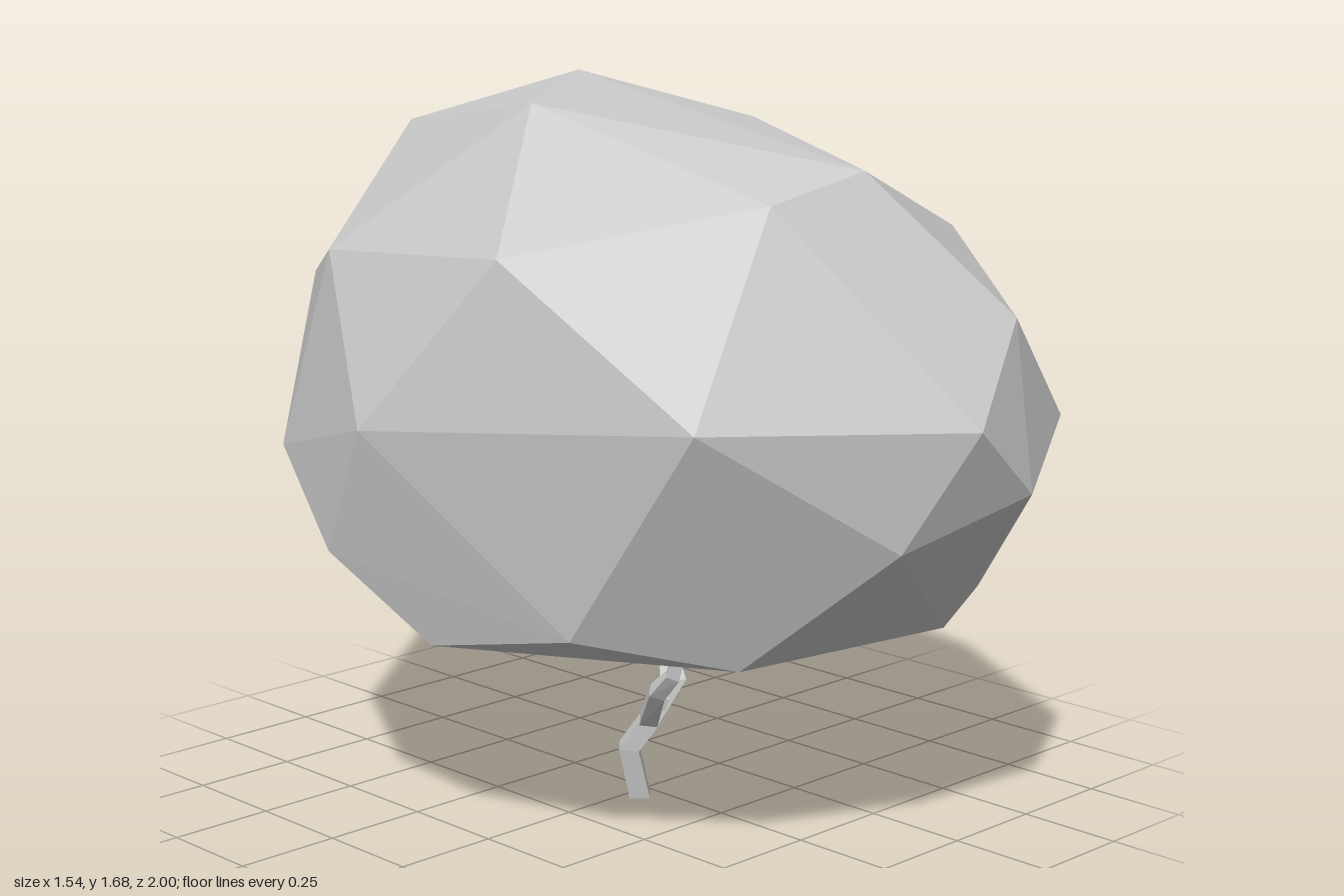
import * as THREE from 'three';
import { ConvexGeometry } from 'three/addons/geometries/ConvexGeometry.js';

const material = new THREE.MeshStandardMaterial({ color: 0xcccccc, flatShading: true });
const UP = new THREE.Vector3(0, 1, 0);
const vectors = (list) => list.map((p) => new THREE.Vector3(...p));

// Four-sided limb: a cylinder whose rows follow a bent path, tapering from r0 to r1
function limb(name, points, r0, r1) {
  const path = vectors(points);
  const last = path.length - 1;
  const geometry = new THREE.CylinderGeometry(1, 1, 1, 4, last);
  const position = geometry.attributes.position;
  const v = new THREE.Vector3();
  const turn = new THREE.Quaternion();
  for (let i = 0; i < position.count; i++) {
    v.fromBufferAttribute(position, i);
    const row = Math.round((v.y + 0.5) * last);
    const tangent = path[Math.min(row + 1, last)].clone().sub(path[Math.max(row - 1, 0)]).normalize();
    if (path[row].y === 0) tangent.copy(UP);
    turn.setFromUnitVectors(UP, tangent);
    v.setY(0).multiplyScalar(THREE.MathUtils.lerp(r0, r1, row / last));
    v.applyQuaternion(turn).add(path[row]);
    position.setXYZ(i, v.x, v.y, v.z);
  }
  geometry.computeVertexNormals();
  const mesh = new THREE.Mesh(geometry, material);
  mesh.name = name;
  return mesh;
}

export function createModel() {
  const tree = new THREE.Group();
  tree.name = 'tree';

  // Faceted crown: hull of corner points, from the top down
  const crown = vectors([
    // top
    [0.09, 1.68, -0.32], [-0.34, 1.65, -0.01], [0.31, 1.58, 0.04], [-0.11, 1.55, -0.7],
    [0, 1.53, 0.66], [-0.28, 1.48, 0.65], [0.09, 1.44, -0.89],
    // upper sides
    [-0.64, 1.36, 0.21], [0.56, 1.34, 0.44], [-0.54, 1.3, -0.48], [0.22, 1.22, 0.9],
    [0.69, 1.19, -0.45], [-0.28, 1.18, -0.87], [0.76, 1.14, 0.05], [0.49, 1.13, -0.91],
    // widest part
    [-0.53, 1.04, 0.68], [-0.01, 1.02, 1], [-0.77, 0.97, -0.1], [0.49, 0.96, 0.82],
    [0.77, 0.88, -0.53], [0.2, 0.85, 0.97], [-0.58, 0.83, -0.62], [0.05, 0.79, -1],
    // lower sides
    [-0.13, 0.76, 0.89], [-0.74, 0.67, -0.25], [0.26, 0.63, -0.93], [0.66, 0.58, 0.43],
    [-0.57, 0.55, 0.35], [0.49, 0.52, -0.43], [0.22, 0.5, 0.72], [0.55, 0.5, 0.55],
    // underside
    [-0.3, 0.48, 0.59], [-0.64, 0.48, -0.02], [0, 0.48, -0.68], [0.48, 0.43, 0.45],
    [-0.03, 0.4, 0.05],
  ]);
  const foliage = new THREE.Mesh(new ConvexGeometry(crown), material);
  foliage.name = 'foliage';
  tree.add(foliage);

  // Crooked trunk and three branches reaching into the crown
  tree.add(
    limb('trunk', [[-0.05, 0, 0.03], [-0.085, 0.13, 0.03], [-0.055, 0.2, 0.07], [-0.05, 0.27, 0.1]], 0.034, 0.03),
    limb('rightBranch', [[-0.06, 0.2, 0.07], [-0.1, 0.29, 0.14], [-0.1, 0.34, 0.19], [-0.09, 0.45, 0.22]], 0.03, 0.018),
    limb('middleBranch', [[-0.06, 0.21, 0.08], [-0.015, 0.3, 0.12], [-0.01, 0.45, 0.05]], 0.03, 0.027),
    limb('leftBranch', [[-0.03, 0.27, 0.11], [0.05, 0.325, 0.02], [0.055, 0.37, -0.07], [0.045, 0.45, -0.11]], 0.03, 0.014),
  );
  return tree;
}
